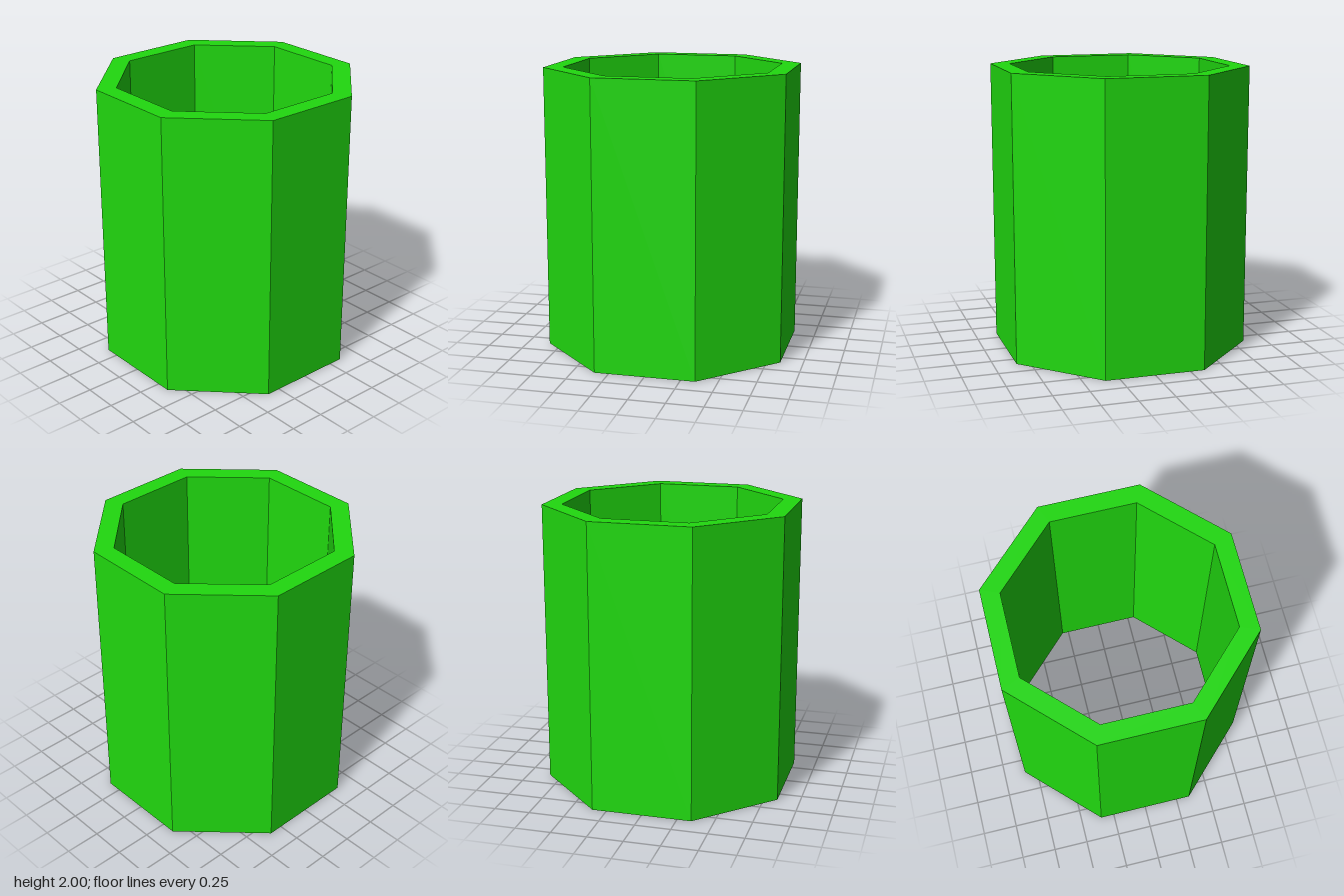
import * as THREE from 'three';

const HEIGHT = 2;
const OUTER = 0.843; // centre to flat side, outside
const INNER = 0.716; // centre to flat side, inside

// Corners of a regular octagon with flat sides facing the axes
function octagon(apothem) {
  const radius = apothem / Math.cos(Math.PI / 8);
  return Array.from({ length: 8 }, (_, i) => {
    const a = ((i + 0.5) * Math.PI) / 4;
    return new THREE.Vector2(radius * Math.cos(a), radius * Math.sin(a));
  });
}

export function createModel() {
  const group = new THREE.Group();
  group.name = 'octagonalPipe';

  // Open tube wall: octagon with an octagonal hole, extruded upwards
  const profile = new THREE.Shape(octagon(OUTER));
  profile.holes.push(new THREE.Path(octagon(INNER)));
  const geometry = new THREE.ExtrudeGeometry(profile, { depth: HEIGHT, bevelEnabled: false });
  geometry.rotateX(-Math.PI / 2);

  const wall = new THREE.Mesh(
    geometry,
    new THREE.MeshStandardMaterial({ color: 0x20d80f, flatShading: true })
  );
  wall.name = 'pipeWall';
  group.add(wall);
  return group;
}
